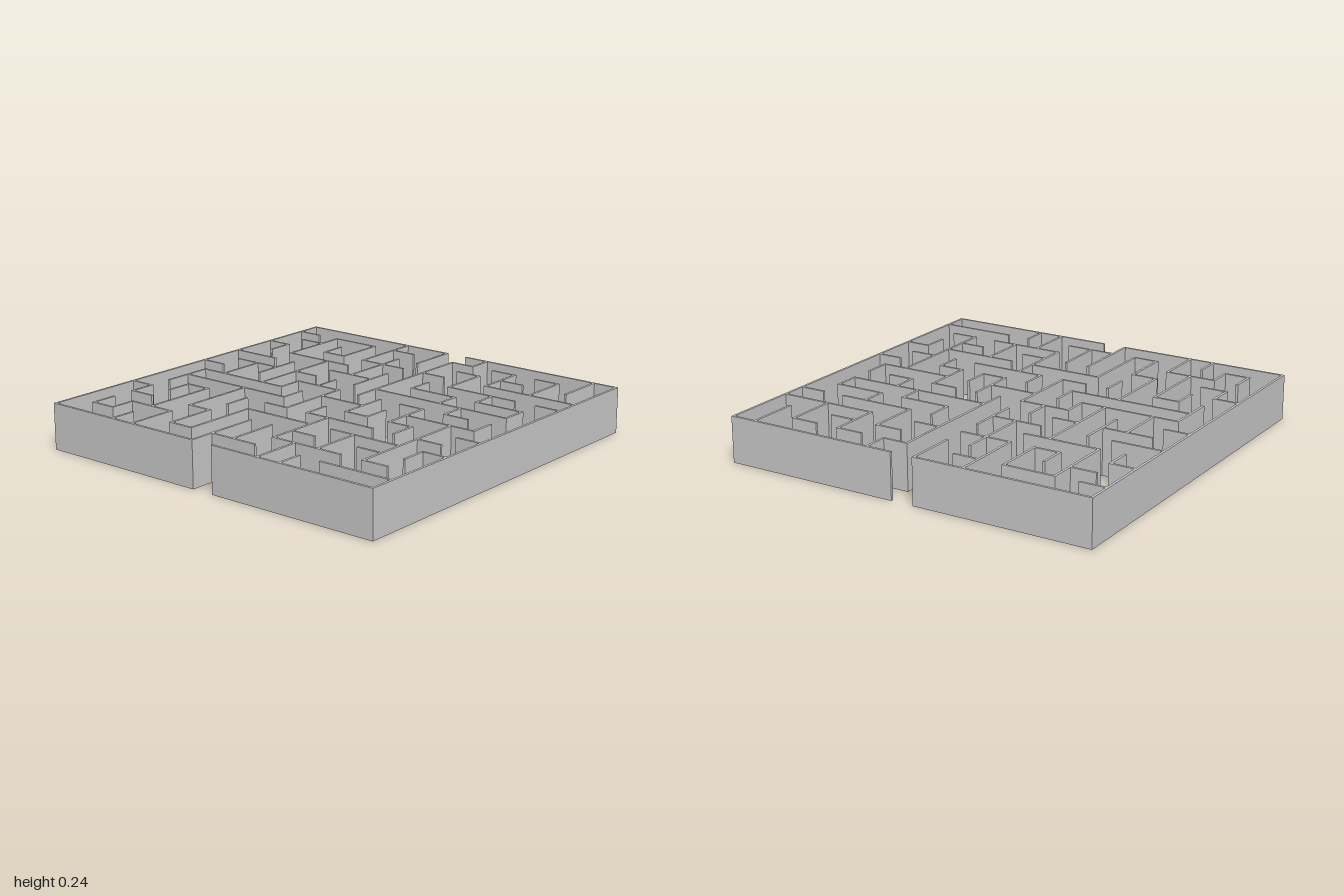
import * as THREE from 'three';

const CELLS = 15;
const THICK = 2 / 151;      // wall thickness
const PITCH = THICK * 10;   // spacing of the maze grid lines
const HEIGHT = 0.24;

// Wall runs on each grid line, as "start-end" in cells.
// Rows run along x, listed from back to front.
const ROWS = [
  '0-7 8-15',
  '0-1 2-4 5-6 8-9 10-11 12-13',
  '1-2 9-10 11-12',
  '0-1 3-4 5-7 8-9 11-15',
  '2-5 10-13 14-15',
  '0-2 5-7 9-11 12-14',
  '1-3 4-5 8-14',
  '0-1 5-7 10-11 12-13',
  '1-5 7-9 11-14',
  '1-6 9-10 11-12 14-15',
  '2-3 6-7 8-11 13-14',
  '0-1 6-9 10-13 14-15',
  '1-2 4-5 9-10 12-13',
  '2-4 9-12 13-14',
  '1-2 5-6 7-9 12-15',
  '0-7 8-15',
];

// Columns run along z, listed from -x to +x.
const COLUMNS = [
  '0-15',
  '3-4 8-10 11-12 13-14',
  '1-4 6-8 10-11 13-14',
  '2-3 5-7 10-13 14-15',
  '1-3 4-8 9-12 13-15',
  '0-3 7-8 10-11 12-14',
  '2-5 6-7 8-9 11-14',
  '0-2 4-6 7-10 12-15',
  '1-7 9-10 12-14',
  '0-1 4-5 7-9 10-13',
  '2-4 8-9 13-15',
  '1-3 5-6 7-9 11-13 14-15',
  '4-5 6-7 9-10',
  '1-3 8-13',
  '0-2 5-6 7-8 11-12',
  '0-15',
];

const gridPos = (i) => (i - CELLS / 2) * PITCH;

export function createModel() {
  const model = new THREE.Group();
  model.name = 'maze';
  const material = new THREE.MeshStandardMaterial({ color: 0xcccccc });

  const outer = new THREE.Group();
  outer.name = 'outerWalls';
  const inner = new THREE.Group();
  inner.name = 'innerWalls';
  model.add(outer, inner);

  // Each run is a box, lengthened by half a thickness at both ends to close corners
  const addWalls = (lines, alongX) => {
    lines.forEach((line, index) => {
      const isOuter = index === 0 || index === CELLS;
      for (const run of line.split(' ')) {
        const [start, end] = run.split('-').map(Number);
        const length = (end - start) * PITCH + THICK;
        const mid = gridPos((start + end) / 2);
        const across = gridPos(index);
        const wall = new THREE.Mesh(
          new THREE.BoxGeometry(alongX ? length : THICK, HEIGHT, alongX ? THICK : length),
          material
        );
        wall.position.set(alongX ? mid : across, HEIGHT / 2, alongX ? across : mid);
        wall.name = isOuter ? 'outerWall' : 'innerWall';
        (isOuter ? outer : inner).add(wall);
      }
    });
  };

  addWalls(ROWS, true);
  addWalls(COLUMNS, false);
  return model;
}
